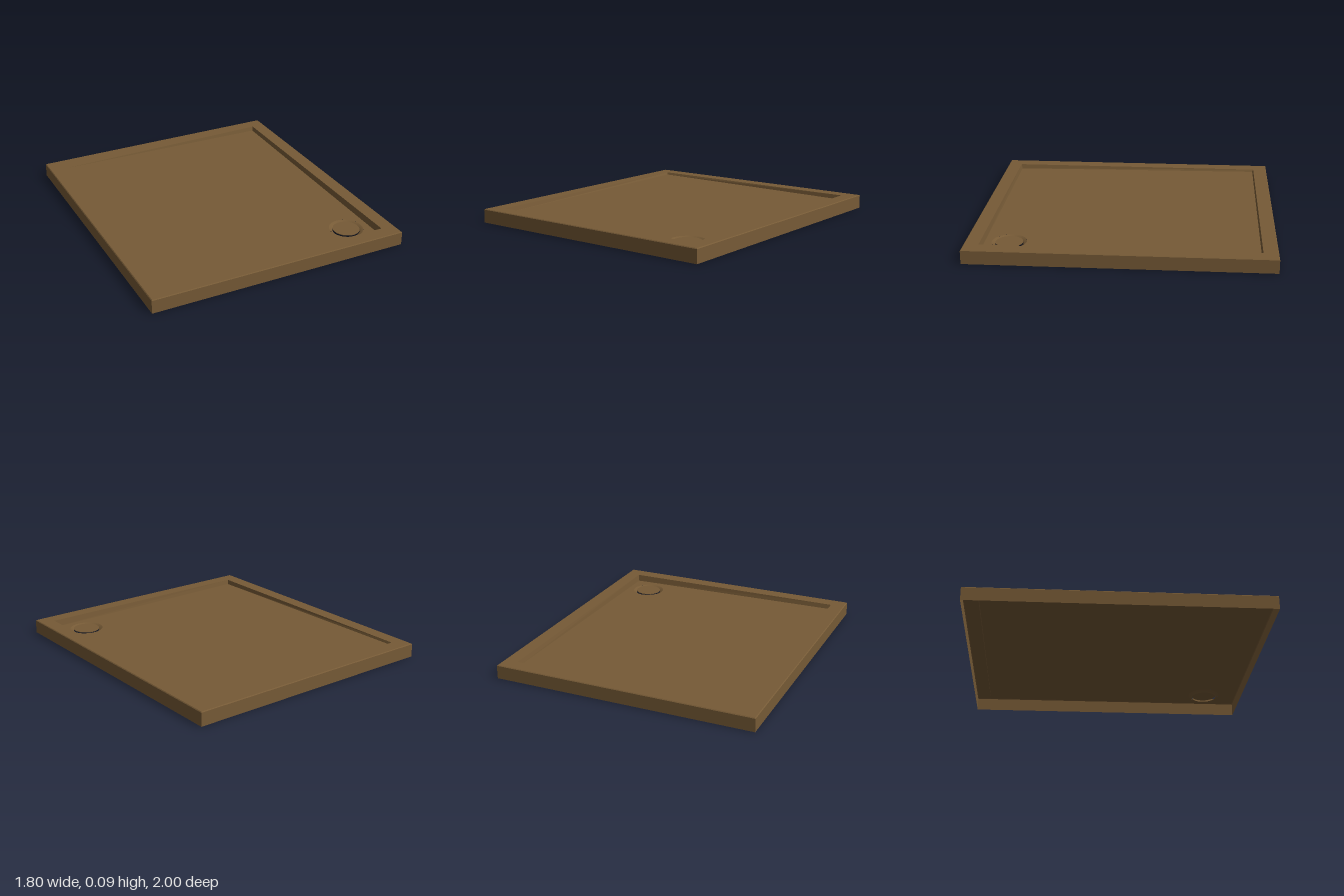
import * as THREE from 'three';

const DRAIN = { x: 0.635, z: 0.735, r: 0.09, lip: 0.115 };

// The floor is a gentle plane falling towards the drain corner.
const floorY = (x, z) => 0.064 - 0.009 * x - 0.009 * z;

// Corners of a rectangle, anticlockwise from above; y is a number or a rule.
function rectLoop(hx, hz, y) {
  return [[-hx, hz], [hx, hz], [hx, -hz], [-hx, -hz]].map(([x, z]) =>
    [x, typeof y === 'function' ? y(x, z) : y, z]);
}

// Circle around the drain, anticlockwise from above.
function ringLoop(r, y, n = 48) {
  return Array.from({ length: n }, (_, i) => {
    const a = (i / n) * Math.PI * 2;
    const x = DRAIN.x + r * Math.cos(a), z = DRAIN.z - r * Math.sin(a);
    return [x, typeof y === 'function' ? y(x, z) : y, z];
  });
}

// Joins neighbouring closed loops with quads.
function loft(loops, smooth = false) {
  const n = loops[0].length, index = [];
  for (let i = 0; i < loops.length - 1; i++) {
    for (let j = 0; j < n; j++) {
      const a = i * n + j, b = i * n + (j + 1) % n;
      index.push(a, b, b + n, a, b + n, a + n);
    }
  }
  let geo = new THREE.BufferGeometry();
  geo.setAttribute('position', new THREE.Float32BufferAttribute(loops.flat(2), 3));
  geo.setIndex(index);
  if (!smooth) geo = geo.toNonIndexed();
  geo.computeVertexNormals();
  return geo;
}

export function createModel() {
  const group = new THREE.Group();
  const brown = new THREE.MeshStandardMaterial({ color: 0x765a36, side: THREE.DoubleSide });
  brown.name = 'brown';
  const add = (name, geo) => {
    const mesh = new THREE.Mesh(geo, brown);
    mesh.name = name;
    group.add(mesh);
    return mesh;
  };

  // Outer skirt, open underneath, with a tiny bevel at the top
  add('skirt', loft([
    rectLoop(0.9, 1, 0), rectLoop(0.9, 1, 0.09), rectLoop(0.895, 0.995, 0.095),
  ]));

  // Flat rim and the sloping step down to the floor
  add('rim', loft([rectLoop(0.895, 0.995, 0.095), rectLoop(0.802, 0.902, 0.095)]));
  add('basinWall', loft([rectLoop(0.802, 0.902, 0.095), rectLoop(0.795, 0.895, floorY)]));

  // Tilted floor with an opening for the drain
  const shape = new THREE.Shape();
  shape.moveTo(-0.795, -0.895).lineTo(0.795, -0.895).lineTo(0.795, 0.895).lineTo(-0.795, 0.895);
  shape.closePath();
  const hole = new THREE.Path();
  hole.absarc(DRAIN.x, -DRAIN.z, DRAIN.lip, 0, Math.PI * 2, true);
  shape.holes.push(hole);
  const floor = new THREE.ShapeGeometry(shape, 48);
  floor.rotateX(-Math.PI / 2);
  const p = floor.attributes.position;
  for (let i = 0; i < p.count; i++) p.setY(i, floorY(p.getX(i), p.getZ(i)));
  floor.computeVertexNormals();
  add('floor', floor);

  // Dished lip leading into the drain hole
  add('drainLip', loft([
    ringLoop(DRAIN.lip, floorY), ringLoop(0.1, 0.045), ringLoop(DRAIN.r, 0.036),
  ], true));

  // Cover disc floating just above the hole
  add('drainCover', new THREE.CylinderGeometry(DRAIN.r, DRAIN.r, 0.004, 48))
    .position.set(DRAIN.x, 0.049, DRAIN.z);

  return group;
}
